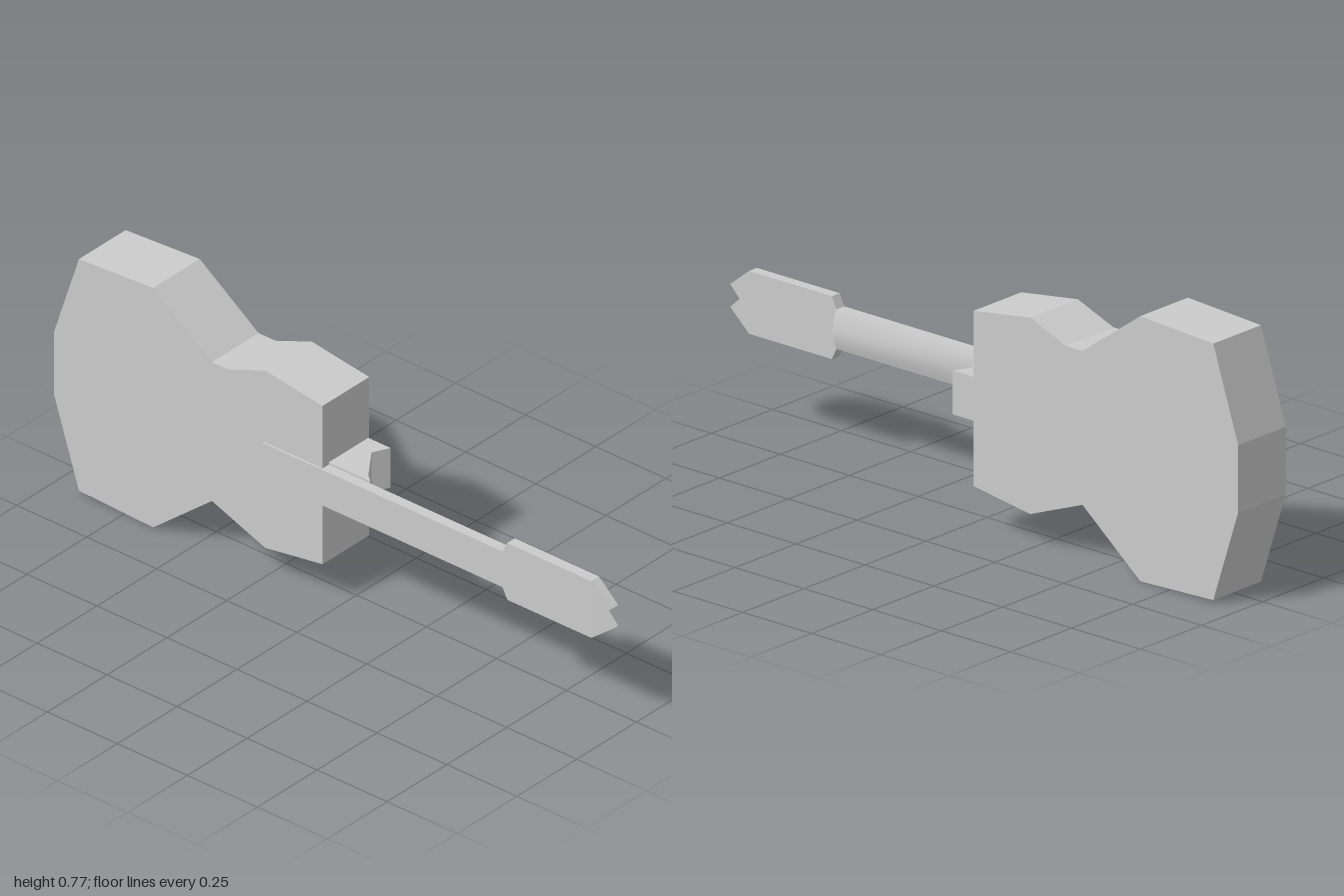
import * as THREE from 'three';
import { toCreasedNormals } from 'three/addons/utils/BufferGeometryUtils.js';

const material = new THREE.MeshStandardMaterial({ color: 0xcccccc });

function extrude(points, depth) {
  const shape = new THREE.Shape(points.map(([x, y]) => new THREE.Vector2(x, y)));
  return new THREE.ExtrudeGeometry(shape, { depth, bevelEnabled: false });
}

export function createModel() {
  const group = new THREE.Group();
  const add = (name, geometry, crease = 0.3) => {
    const mesh = new THREE.Mesh(toCreasedNormals(geometry, crease), material);
    mesh.name = name;
    group.add(mesh);
  };
  const front = 0.101, boardBack = 0.069, mid = 0.378;

  // Hollow-waisted body, a faceted slab
  add('body', extrude([
    [-1, 0.285], [-0.91, 0.01], [-0.645, 0.0], [-0.435, 0.17], [-0.245, 0.097], [-0.04, 0.128],
    [-0.04, 0.635], [-0.245, 0.665], [-0.375, 0.615], [-0.435, 0.615], [-0.645, 0.767],
    [-0.91, 0.752], [-1, 0.48],
  ], 0.195).translate(0, 0, -0.1));

  // Fretboard running from the body's face to the headstock
  add('fretboard', new THREE.BoxGeometry(0.86, 0.114, front - boardBack)
    .translate(0.18, mid, (front + boardBack) / 2));

  // Shallow ridged back of the neck
  add('neckBack', extrude([[-boardBack, 0.322], [-0.052, mid], [-boardBack, 0.435]], 0.65)
    .rotateY(Math.PI / 2).translate(-0.04, 0, 0), 0.9);

  // Heel joining neck and body, profile seen from above
  add('heel', extrude([
    [-0.05, -0.096], [0.04, -0.096], [0.015, -0.045], [0.085, 0.05], [0.108, boardBack], [-0.05, boardBack],
  ], 0.127).rotateX(Math.PI / 2).translate(0, 0.442, 0));

  // Headstock paddle
  add('headstock', extrude([
    [0.607, 0.322], [0.625, 0.287], [0.925, 0.287], [0.925, 0.469], [0.625, 0.469], [0.607, 0.434],
  ], front - boardBack).translate(0, 0, boardBack));

  // Notched tip, thinning towards its end
  const tip = extrude([
    [0.925, 0.287], [1, 0.345], [0.963, mid], [1, 0.411], [0.925, 0.469],
  ], front - boardBack).translate(0, 0, boardBack);
  const p = tip.attributes.position, centre = (front + boardBack) / 2;
  for (let i = 0; i < p.count; i++) {
    const t = (p.getX(i) - 0.925) / 0.075;
    p.setZ(i, centre + (p.getZ(i) - centre) * (1 - 0.45 * t));
  }
  add('headstockTip', tip);

  return group;
}
